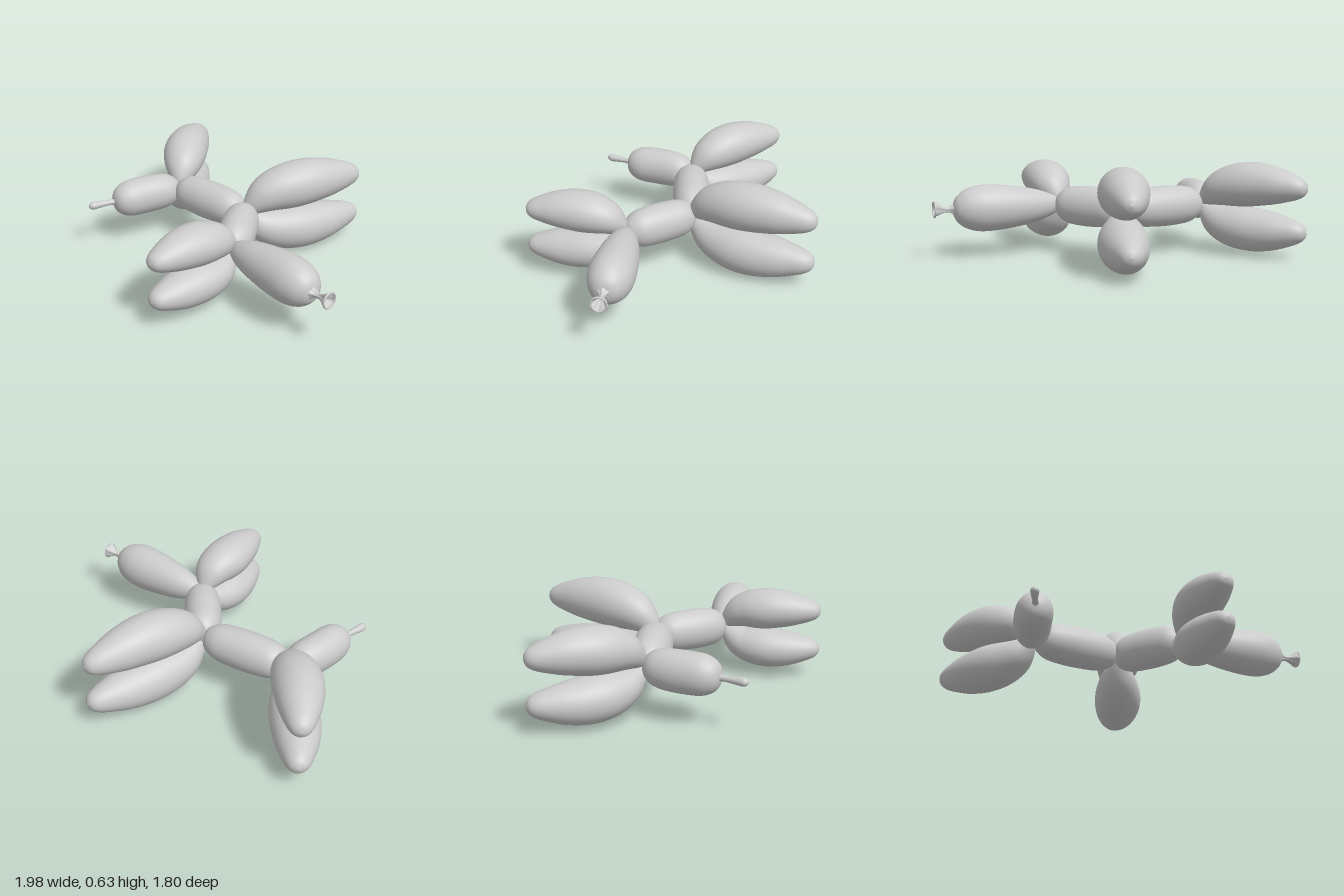
import * as THREE from 'three';
import { mergeVertices } from 'three/addons/utils/BufferGeometryUtils.js';

const MID = 0.317; // height of the twisted spine, also the mirror plane of the paired limbs
const material = new THREE.MeshStandardMaterial({ color: 0xcccccc });
const openMaterial = new THREE.MeshStandardMaterial({ color: 0xcccccc, side: THREE.DoubleSide });

// Profiles: [share of length, share of full radius]
const SAUSAGE = [[0, 0], [0.01, 0.2], [0.07, 0.58], [0.17, 0.85], [0.32, 0.97], [0.55, 1], [0.77, 0.96], [0.9, 0.76], [0.97, 0.45], [1, 0]];
const BLUNT = [[0, 0], [0.015, 0.33], [0.07, 0.66], [0.2, 0.92], [0.42, 1], [0.62, 1], [0.82, 0.9], [0.94, 0.6], [0.985, 0.3], [1, 0]];
const TEARDROP = [[0, 0], [0.01, 0.14], [0.08, 0.44], [0.2, 0.77], [0.36, 0.97], [0.52, 1], [0.7, 0.87], [0.84, 0.66], [0.93, 0.48], [0.98, 0.28], [1, 0]];
const CLUB = [[0, 0], [0.01, 0.18], [0.08, 0.42], [0.25, 0.72], [0.5, 0.93], [0.73, 1], [0.87, 0.86], [0.95, 0.6], [0.985, 0.34], [1, 0]];
const NUB = [[0, 0.9], [0.3, 0.7], [0.6, 0.85], [0.85, 1], [0.96, 0.6], [1, 0]];
const NECK = [[0, 0.85], [0.2, 0.45], [0.42, 0.34], [0.65, 0.55], [0.9, 0.92], [1, 1]];

// Sweeps a round profile along a path; width is the radius in plan, tall the radius in height
function balloon(name, path, profile, width, tall, ripple = 0, mat = material) {
  const curve = new THREE.CatmullRomCurve3(path.map(p => new THREE.Vector3(...p)));
  const outline = new THREE.SplineCurve(profile.map(([t, r]) => new THREE.Vector2(r, t))).getPoints(54);
  outline.forEach(p => { p.x = Math.max(p.x, 0); p.y = THREE.MathUtils.clamp(p.y, 0, 1); });
  const geometry = new THREE.LatheGeometry(outline, 40);
  const pos = geometry.attributes.position;
  const up = new THREE.Vector3(0, 1, 0);
  for (let i = 0; i < pos.count; i++) {
    const x = pos.getX(i), t = THREE.MathUtils.clamp(pos.getY(i), 0, 1), z = pos.getZ(i);
    const tangent = curve.getTangentAt(t);
    const side = tangent.clone().cross(up).normalize();
    const rise = side.clone().cross(tangent);
    const fold = 1 + ripple * Math.sin(5 * Math.atan2(z, x) + 2 * t);
    const p = curve.getPointAt(t)
      .addScaledVector(side, x * width * fold)
      .addScaledVector(rise, z * tall * fold);
    pos.setXYZ(i, p.x, p.y, p.z);
  }
  geometry.deleteAttribute('uv');
  geometry.deleteAttribute('normal');
  const smooth = mergeVertices(geometry, 1e-5);
  smooth.computeVertexNormals();
  const mesh = new THREE.Mesh(smooth, mat);
  mesh.name = name;
  return mesh;
}

// Two limbs mirrored above and below the spine; path heights are offsets from it
function limbPair(name, path, profile, width, tall) {
  const group = new THREE.Group();
  group.name = name;
  for (const [label, s] of [['Upper', 1], ['Lower', -1]]) {
    group.add(balloon(name + label, path.map(([x, y, z]) => [x, MID + s * y, z]), profile, width, tall));
  }
  return group;
}

export function createModel() {
  const model = new THREE.Group();
  model.name = 'balloonDog';

  // Spine
  model.add(
    balloon('body', [[-0.03, MID, -0.17], [-0.3, MID, -0.197], [-0.615, MID, -0.23]], BLUNT, 0.124, 0.13),
    balloon('neck', [[-0.025, MID, -0.185], [0.08, MID, 0.05], [0.19, MID, 0.275]], BLUNT, 0.12, 0.13),
    balloon('head', [[0.17, MID, 0.255], [0.52, MID, 0.335], [0.875, MID, 0.425]], CLUB, 0.142, 0.15),
    balloon('tail', [[-0.615, MID, -0.245], [-0.735, MID, -0.03], [-0.835, MID, 0.205]], SAUSAGE, 0.118, 0.128)
  );

  // Paired limbs
  model.add(
    limbPair('ear', [[0.18, 0.01, 0.255], [0.155, 0.105, 0.4], [0.105, 0.132, 0.57], [0.045, 0.128, 0.893]], TEARDROP, 0.147, 0.13),
    limbPair('frontLeg', [[-0.02, 0.01, -0.155], [0.075, 0.12, -0.31], [0.2, 0.158, -0.5], [0.425, 0.145, -0.898]], TEARDROP, 0.155, 0.155),
    limbPair('backLeg', [[-0.61, 0.01, -0.23], [-0.685, 0.11, -0.37], [-0.785, 0.147, -0.55], [-0.925, 0.14, -0.898]], TEARDROP, 0.152, 0.143)
  );

  // Twists between the bubbles
  for (const [x, z] of [[-0.62, -0.225], [-0.025, -0.175], [0.18, 0.26]]) {
    const twist = new THREE.Mesh(new THREE.SphereGeometry(0.04, 20, 14), material);
    twist.position.set(x, MID, z);
    twist.name = 'twist';
    model.add(twist);
  }

  // Uninflated tail tip and the tied mouth of the balloon
  model.add(
    balloon('tailTip', [[-0.825, MID, 0.17], [-0.875, MID, 0.25], [-0.93, MID, 0.348]], NUB, 0.026, 0.026),
    balloon('knot', [[0.86, MID, 0.427], [0.92, MID, 0.44], [0.99, MID + 0.005, 0.456]], NECK, 0.05, 0.048, 0.1, openMaterial)
  );
  const lip = new THREE.Mesh(new THREE.TorusGeometry(0.047, 0.006, 10, 36), material);
  lip.position.set(0.987, MID + 0.005, 0.456);
  lip.rotation.y = Math.PI / 2 - 0.23;
  lip.name = 'knotLip';
  model.add(lip);

  return model;
}
